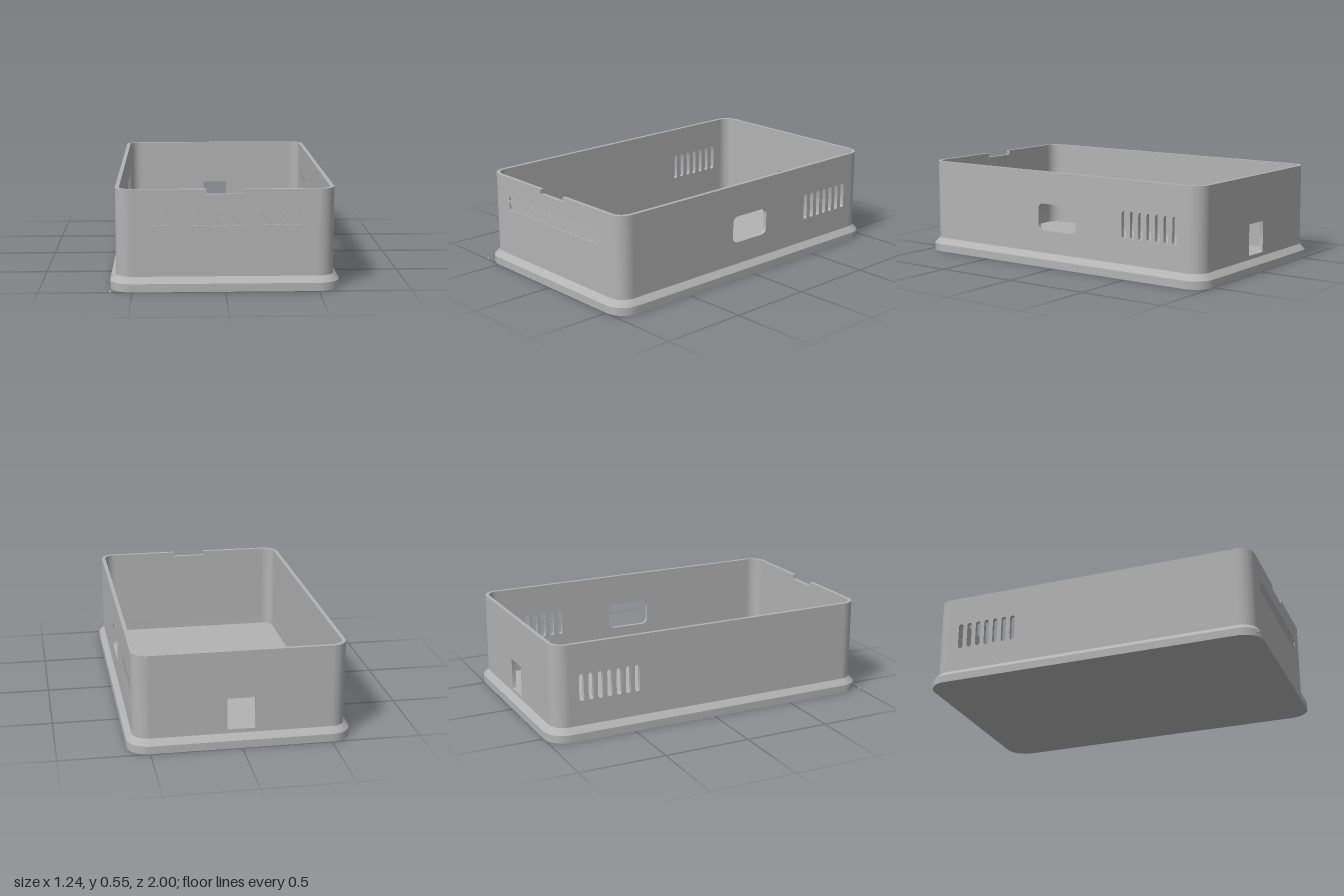
import * as THREE from 'three';
import { toCreasedNormals } from 'three/addons/utils/BufferGeometryUtils.js';

const HX = 0.588, HZ = 0.968, R = 0.088, T = 0.022; // wall half sizes, corner radius, thickness
const FLANGE = 0.032, Y0 = 0.078, Y1 = 0.55, FLOOR = 0.02;

// Rounded rectangle points, counter-clockwise seen from above
function ringPoints(grow, y) {
  const pts = [], r = R + grow;
  [[1, -1], [-1, -1], [-1, 1], [1, 1]].forEach(([sx, sz], q) => {
    for (let i = 0; i <= 10; i++) {
      const a = (q + i / 10) * Math.PI / 2;
      pts.push([sx * (HX - R) + r * Math.cos(a), y, sz * (HZ - R) - r * Math.sin(a)]);
    }
  });
  return pts;
}

// Closed tray: bottom, flange, chamfer, ledge, inner wall and floor
function trayGeometry() {
  const rings = [[FLANGE, 0], [FLANGE, 0.045], [0, Y0], [-T, Y0], [-T, FLOOR]].map(([g, y]) => ringPoints(g, y));
  const pos = [], n = rings[0].length, top = rings.length - 1;
  for (let j = 0; j < n; j++) {
    const k = (j + 1) % n;
    for (let i = 0; i < top; i++) {
      const a = rings[i][j], b = rings[i][k], c = rings[i + 1][k], d = rings[i + 1][j];
      pos.push(...a, ...b, ...c, ...a, ...c, ...d);
    }
    pos.push(0, 0, 0, ...rings[0][k], ...rings[0][j]);
    pos.push(0, FLOOR, 0, ...rings[top][j], ...rings[top][k]);
  }
  const geo = new THREE.BufferGeometry();
  geo.setAttribute('position', new THREE.Float32BufferAttribute(pos, 3));
  return toCreasedNormals(geo, 0.5);
}

function roundedHole(x, y, w, h, r) {
  const p = new THREE.Path(), a = w / 2 - r, b = h / 2 - r;
  p.absarc(x + a, y + b, r, 0, Math.PI / 2);
  p.absarc(x - a, y + b, r, Math.PI / 2, Math.PI);
  p.absarc(x - a, y - b, r, Math.PI, Math.PI * 1.5);
  p.absarc(x + a, y - b, r, Math.PI * 1.5, Math.PI * 2);
  p.closePath();
  return p;
}

// Flat wall between the corners, optionally with a notch in its top edge
function panelShape(half, holes = [], notch = 0) {
  const pts = [[-half, Y0], [half, Y0], [half, Y1]];
  if (notch) pts.push([notch, Y1], [notch, 0.523], [-notch, 0.523], [-notch, Y1]);
  pts.push([-half, Y1]);
  const shape = new THREE.Shape(pts.map(p => new THREE.Vector2(...p)));
  shape.holes.push(...holes);
  return shape;
}

function extrude(shape, depth) {
  const geo = new THREE.ExtrudeGeometry(shape, { depth, bevelEnabled: false, curveSegments: 10 });
  return toCreasedNormals(geo, 0.5);
}

// Keep the part of a polygon where side * x <= limit
function clip(poly, side, limit) {
  const out = [];
  poly.forEach((p, i) => {
    const q = poly[(i + 1) % poly.length];
    const dp = limit - side * p.x, dq = limit - side * q.x;
    if (dp >= 0) out.push(p);
    if (dp * dq < 0) out.push(p.clone().lerp(q, dp / (dp - dq)));
  });
  return out;
}

// Slanted grooves cut off at the ends of the grille
function grilleHoles() {
  const holes = [], w = 0.042, slant = 0.08;
  for (let k = -4; k <= 14; k++) {
    const t = -0.32 + k * 0.0545;
    let poly = [[t, 0.435], [t + slant, 0.355], [t + slant + w, 0.355], [t + w, 0.435]]
      .map(p => new THREE.Vector2(...p));
    poly = clip(clip(poly, 1, 0.408), -1, 0.408);
    if (poly.length > 2) holes.push(new THREE.Path(poly));
  }
  return holes;
}

export function createModel() {
  const group = new THREE.Group();
  const grey = new THREE.MeshStandardMaterial({ name: 'grey plastic', color: 0xb3b3b3 });
  const add = (name, geo) => {
    const mesh = new THREE.Mesh(geo, grey);
    mesh.name = name;
    group.add(mesh);
    return mesh;
  };

  add('baseTray', trayGeometry());

  // Front wall: grooved outer skin over a plain inner skin
  const fx = HX - R, fz = HZ - R;
  add('frontGrille', extrude(panelShape(fx, grilleHoles(), 0.1), T / 2)).position.z = HZ - T / 2;
  add('frontWall', extrude(panelShape(fx, [], 0.1), T / 2)).position.z = HZ - T;

  // Back wall with square port
  const port = roundedHole(0, 0.19, 0.155, 0.18, 0.003);
  const back = add('backWall', extrude(panelShape(fx, [port]), T));
  back.rotation.y = Math.PI;
  back.position.z = -HZ + T;

  // Side walls with vent slots, and a window on one side
  for (const s of [1, -1]) {
    const holes = [];
    for (let i = 0; i < 7; i++) holes.push(roundedHole(s * (0.472 + i * 0.0555), 0.2975, 0.029, 0.155, 0.0144));
    if (s > 0) holes.push(roundedHole(0, 0.286, 0.27, 0.156, 0.035));
    const side = add(s > 0 ? 'leftWall' : 'rightWall', extrude(panelShape(fz, holes), T));
    side.rotation.y = s * Math.PI / 2;
    side.position.x = s * (HX - T);
  }

  // Rounded corners
  const arc = new THREE.Shape();
  arc.absarc(0, 0, R, 0, Math.PI / 2, false);
  arc.absarc(0, 0, R - T, Math.PI / 2, 0, true);
  const cornerGeo = extrude(arc, Y1 - Y0).rotateX(-Math.PI / 2);
  [[1, -1], [-1, -1], [-1, 1], [1, 1]].forEach(([sx, sz], q) => {
    const corner = add('cornerWall', cornerGeo);
    corner.rotation.y = q * Math.PI / 2;
    corner.position.set(sx * fx, Y0, sz * fz);
  });

  // Tiny loose pip beside the front corner
  add('pip', new THREE.BoxGeometry(0.01, 0.01, 0.01)).position.set(-0.615, 0.006, 0.993);

  return group;
}
